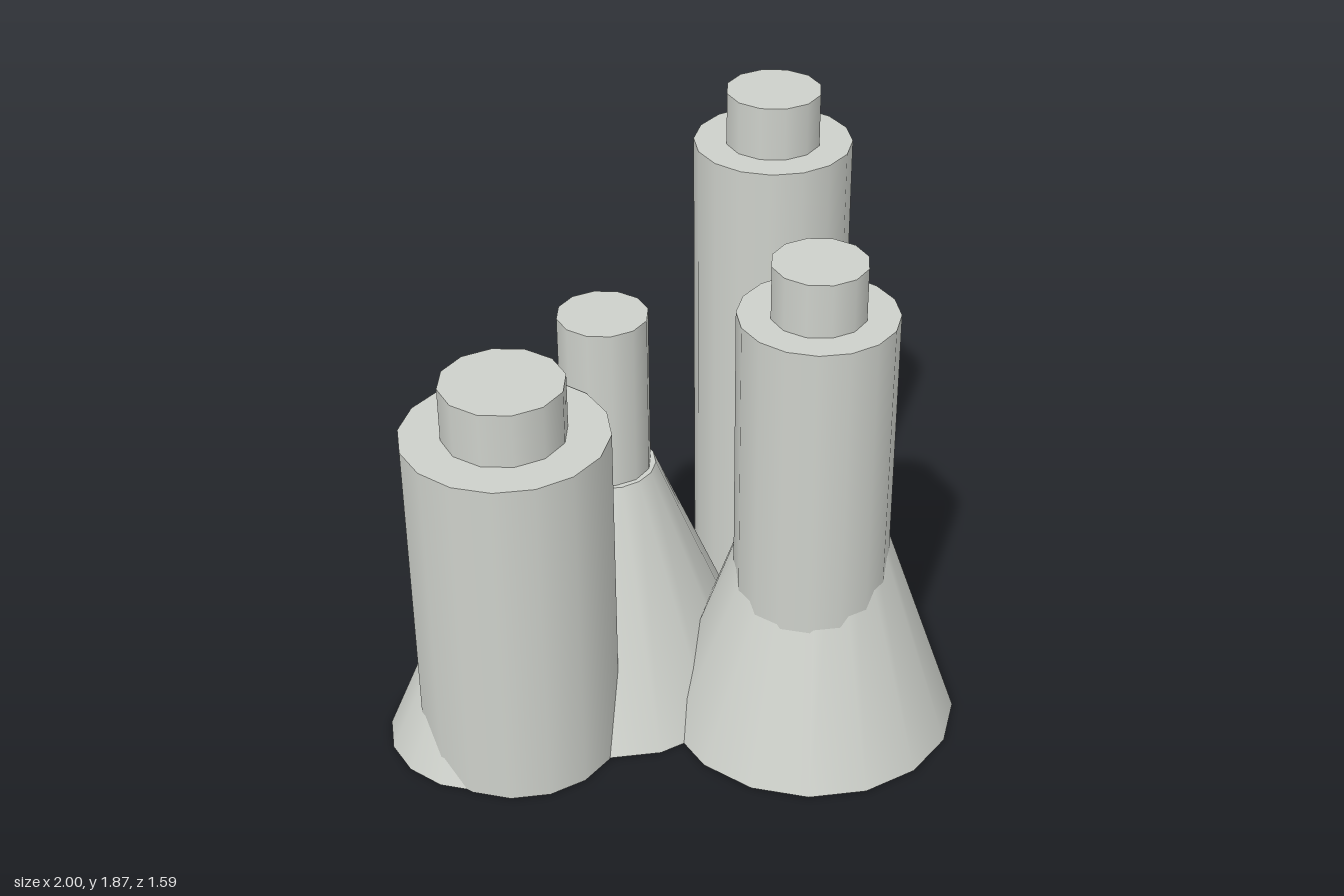
import * as THREE from 'three';

const stone = new THREE.MeshStandardMaterial({ color: 0xcdd0ca });
stone.name = 'pale grey stone';

// Upright round column or cone frustum standing between two heights
function column(name, x, z, y0, y1, rBottom, rTop = rBottom, sides = 16) {
  const geometry = new THREE.CylinderGeometry(rTop, rBottom, y1 - y0, sides);
  const mesh = new THREE.Mesh(geometry, stone);
  mesh.name = name;
  mesh.position.set(x, (y0 + y1) / 2, z);
  return mesh;
}

// Wide shaft with a narrower cap on top
function tower(name, x, z, shaftTop, shaftR, capTop, capR) {
  const group = new THREE.Group();
  group.name = name;
  group.add(
    column('shaft', x, z, 0, shaftTop, shaftR),
    column('cap', x, z, shaftTop, capTop, capR, capR, 12)
  );
  return group;
}

// Flared conical base carrying a thin chimney
function chimney(name, x, z, baseR, neckR, baseTop, pipeR, pipeTop) {
  const group = new THREE.Group();
  group.name = name;
  group.add(
    column('flaredBase', x, z, 0, baseTop, baseR, neckR),
    column('pipe', x, z, baseTop, pipeTop, pipeR, pipeR, 12)
  );
  return group;
}

export function createModel() {
  const model = new THREE.Group();
  model.name = 'towerCluster';

  model.add(
    // Capped towers
    tower('rightTower', -0.62, -0.22, 1.18, 0.325, 1.36, 0.195),
    tower('frontTower', 0.147, 0.34, 1.53, 0.247, 1.705, 0.148),
    tower('tallTower', 0.63, -0.355, 1.695, 0.258, 1.872, 0.155),
    tower('lowTower', 0.782, -0.515, 1.2, 0.215, 1.38, 0.125),
    // Cone-based chimneys, two of them partly buried in towers
    chimney('backChimney', -0.16, -0.295, 0.503, 0.16, 0.83, 0.145, 1.38),
    chimney('frontChimney', 0.19, 0.31, 0.48, 0.155, 0.94, 0.133, 1.575),
    chimney('rightChimney', -0.67, -0.32, 0.33, 0.11, 0.53, 0.1, 0.9)
  );
  return model;
}
